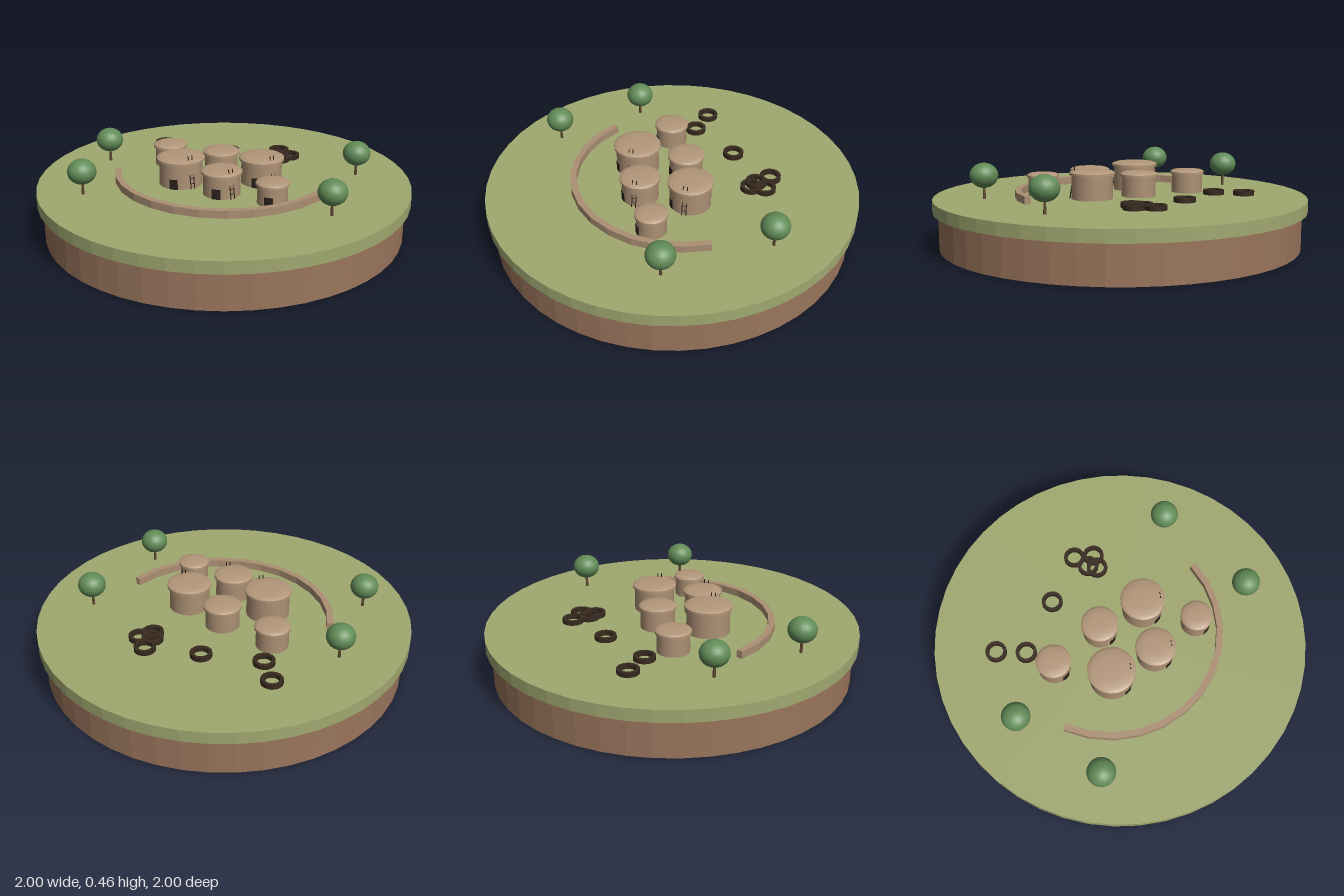
import * as THREE from 'three';
import { toCreasedNormals } from 'three/addons/utils/BufferGeometryUtils.js';

const GROUND = 0.265;

function material(name, color, flatShading = false) {
  const m = new THREE.MeshStandardMaterial({ color, flatShading });
  m.name = name;
  return m;
}

export function createModel() {
  const model = new THREE.Group();
  model.name = 'roundVillage';
  const mats = {
    grass: material('grass', 0xa0a870, true),
    earth: material('earth', 0x9a755c, true),
    wall: material('mudWall', 0xab8f73),
    roof: material('mudRoof', 0xb3977a),
    dark: material('darkOpening', 0x2a211b),
    thorn: material('thornFence', 0x37291e),
    leaf: material('foliage', 0x628c58),
    wood: material('wood', 0x5e4530),
  };

  function add(parent, name, geometry, mat, x = 0, y = 0, z = 0) {
    const mesh = new THREE.Mesh(geometry, mat);
    mesh.name = name;
    mesh.position.set(x, y, z);
    parent.add(mesh);
    return mesh;
  }
  function addGroup(name, x, z) {
    const g = new THREE.Group();
    g.name = name;
    g.position.set(x, GROUND, z);
    model.add(g);
    return g;
  }
  const lathe = (points, segments) => toCreasedNormals(
    new THREE.LatheGeometry(points.map(p => new THREE.Vector2(...p)), segments), 0.6);

  // Cylinder between two points
  function addPole(parent, name, a, b, radius, mat) {
    const dir = b.clone().sub(a);
    const mid = a.clone().add(b).multiplyScalar(0.5);
    const pole = add(parent, name, new THREE.CylinderGeometry(radius, radius, dir.length(), 6), mat, mid.x, mid.y, mid.z);
    pole.quaternion.setFromUnitVectors(new THREE.Vector3(0, 1, 0), dir.normalize());
  }

  // Disc-shaped plot
  add(model, 'earthBase', new THREE.CylinderGeometry(0.97, 0.97, 0.2, 48), mats.earth, 0, 0.1, 0);
  add(model, 'grassTop', new THREE.CylinderGeometry(1, 1, GROUND - 0.2, 48), mats.grass, 0, (GROUND + 0.2) / 2, 0);

  // Round huts: x, z, roof radius, height, ladder
  const huts = [
    [-0.267, -0.283, 0.093, 0.126, false],
    [0, -0.112, 0.1, 0.133, false],
    [-0.235, 0.025, 0.127, 0.158, true],
    [0.193, 0.068, 0.12, 0.152, true],
    [-0.039, 0.206, 0.107, 0.138, true],
    [0.198, 0.366, 0.086, 0.122, false],
  ];
  for (const [x, z, R, top, ladder] of huts) {
    const hut = addGroup('hut', x, z);
    const wallR = R * 0.9, eave = top - 0.026;
    add(hut, 'hutWall', new THREE.CylinderGeometry(wallR, wallR * 1.02, eave, 24), mats.wall, 0, eave / 2, 0);
    add(hut, 'hutRoof', lathe([
      [0, eave], [R, eave], [R, top - 0.013], [R * 0.95, top - 0.009],
      [R * 0.84, top - 0.004], [R * 0.5, top - 0.001], [0, top],
    ], 24), mats.roof);

    // Doorway, a thin curved plate on the wall
    const width = 0.045 / wallR;
    const door = add(hut, 'doorway', new THREE.CylinderGeometry(wallR + 0.004, wallR + 0.004, 0.055, 6, 1, true, -width / 2, width),
      mats.dark, 0, 0.0275, 0);
    door.rotation.y = -0.43;

    // Ladder leaning on the wall and poking through the roof
    if (ladder) {
      const g = new THREE.Group();
      g.name = 'ladder';
      g.rotation.y = 0.44;
      hut.add(g);
      const at = (side, t) => new THREE.Vector3(side * 0.011, t * (top + 0.018), R * (0.98 - 0.22 * t));
      for (const s of [-1, 1]) addPole(g, 'ladderPole', at(s, 0), at(s, 1), 0.0025, mats.dark);
      for (let i = 1; i <= 5; i++) addPole(g, 'ladderRung', at(-1, i / 6), at(1, i / 6), 0.002, mats.dark);
    }
  }

  // Curved boundary wall of straight blocks
  const boundary = addGroup('boundaryWall', 0.02, -0.06);
  const count = 12, start = THREE.MathUtils.degToRad(34), end = THREE.MathUtils.degToRad(186.5);
  const step = (end - start) / count, radius = 0.586;
  for (let i = 0; i < count; i++) {
    const a = start + (i + 0.5) * step;
    const block = add(boundary, 'wallBlock', new THREE.BoxGeometry(0.034, 0.04, radius * step + 0.006), mats.wall,
      Math.cos(a) * radius, 0.02, Math.sin(a) * radius);
    block.rotation.y = -a;
  }

  // Small thorn-fence pens
  const pens = [[-0.275, -0.61], [-0.232, -0.454], [0.086, -0.413], [0.375, -0.379],
    [0.348, -0.29], [0.417, -0.281], [0.353, -0.239]];
  const penGeometry = lathe([[0.039, 0], [0.057, 0], [0.057, 0.025], [0.039, 0.025], [0.039, 0]], 16);
  for (const [x, z] of pens) add(model, 'animalPen', penGeometry, mats.thorn, x, GROUND, z);

  // Trees
  const crown = new THREE.SphereGeometry(0.075, 20, 14);
  crown.scale(1, 0.88, 1);
  for (const [x, z] of [[-0.606, -0.371], [-0.753, 0.129], [0.722, 0.039], [0.455, 0.57]]) {
    const tree = addGroup('tree', x, z);
    add(tree, 'trunk', new THREE.CylinderGeometry(0.006, 0.008, 0.08, 8), mats.wood, 0, 0.04, 0);
    add(tree, 'crown', crown, mats.leaf, 0, 0.124, 0);
  }
  return model;
}
